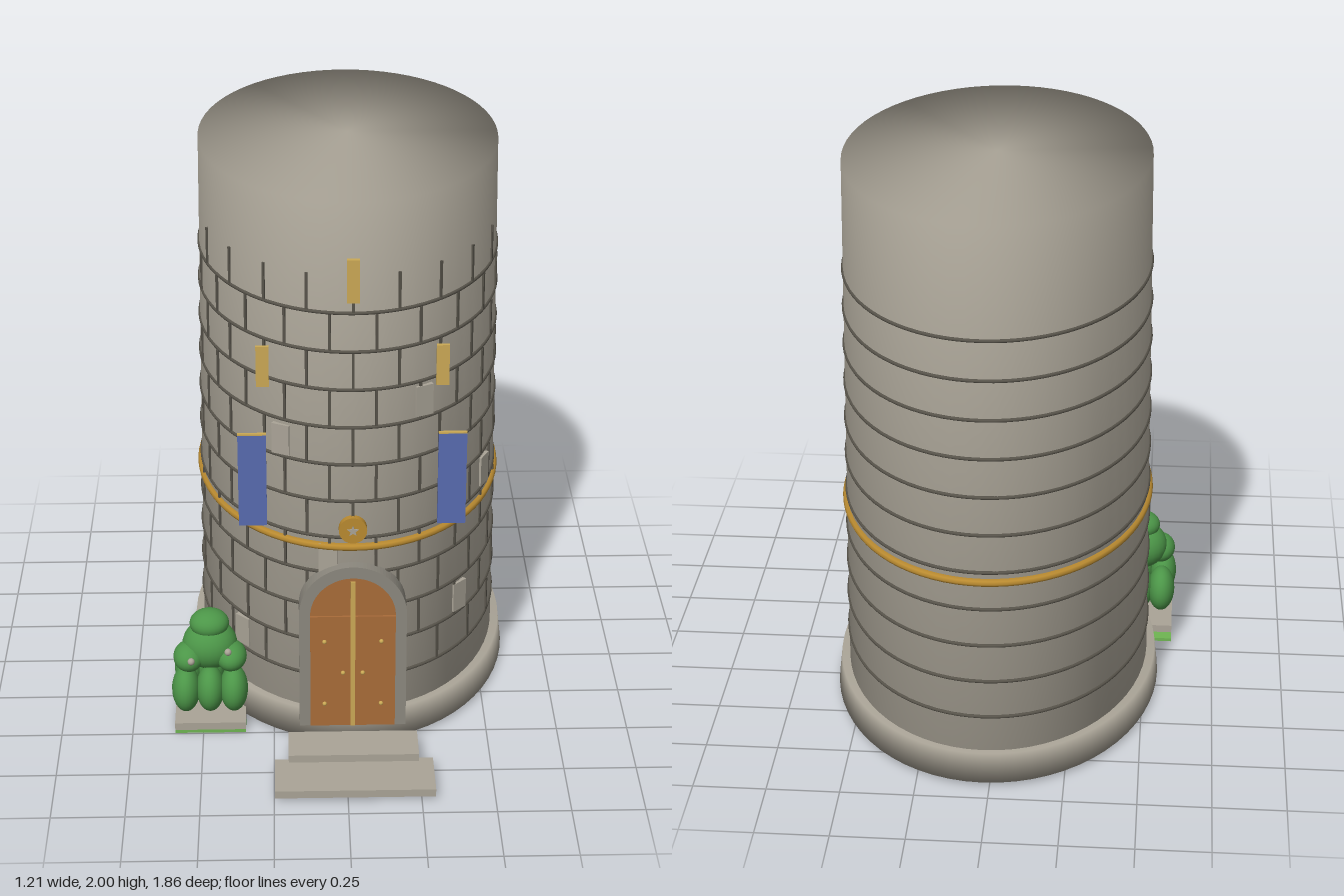
import * as THREE from 'three';

const CX = 0.025, CZ = -0.175, RATIO = 1.34;

export function createModel() {
  const root = new THREE.Group();
  root.name = 'tower';
  const mat = (name, color) => {
    const m = new THREE.MeshStandardMaterial({ color });
    m.name = name;
    return m;
  };
  const stone = mat('stone', 0xaaa497);
  const mortar = mat('mortar', 0x57534a);
  const trim = mat('doorFrameStone', 0x8c887e);
  const wood = mat('wood', 0xa96c39);
  const gold = mat('gold', 0xb98a30);
  const paleGold = mat('paleGold', 0xcba955);
  const blue = mat('bannerBlue', 0x586bb0);
  const leaf = mat('leafGreen', 0x4c9648);
  const grass = mat('grassGreen', 0x6fb552);

  const add = (name, geometry, material, x = 0, y = 0, z = 0, parent = root) => {
    const mesh = new THREE.Mesh(geometry, material);
    mesh.name = name;
    mesh.position.set(x, y, z);
    parent.add(mesh);
    return mesh;
  };
  // Box given by its minimum and maximum corners
  const box = (name, material, [x0, y0, z0], [x1, y1, z1]) =>
    add(name, new THREE.BoxGeometry(x1 - x0, y1 - y0, z1 - z0), material,
      (x0 + x1) / 2, (y0 + y1) / 2, (z0 + z1) / 2);

  // The slightly tapering oval wall
  const radius = (y) => 0.537 - 0.011 * y;
  const oval = (name, profile, material, ratio) => {
    const points = profile.map(([r, y]) => new THREE.Vector2(r, y));
    const geometry = new THREE.LatheGeometry(points, 64);
    add(name, geometry, material, CX, 0, CZ).scale.z = ratio;
  };
  oval('wall', [[0, 0.03], [radius(0), 0.03], [radius(2), 2], [0, 2]], stone, RATIO);
  oval('plinth', [[0, 0.015], [0.577, 0.015], [0.565, 0.12], [0, 0.12]], stone, 1.31);

  // Oval hoop around the wall
  const hoop = (name, y, r, tube, material) => {
    const geometry = new THREE.TorusGeometry(r, tube, 8, 80).rotateX(Math.PI / 2);
    add(name, geometry, material, CX, y, CZ).scale.z = RATIO;
  };
  // Block set into the wall at an angle measured from the front
  const onWall = (name, degrees, y, w, h, d, material) => {
    const a = THREE.MathUtils.degToRad(degrees), r = radius(y);
    add(name, new THREE.BoxGeometry(w, h, d), material,
      CX + r * Math.sin(a), y, CZ + r * RATIO * Math.cos(a)).rotation.y = a;
  };

  // Mortar courses with staggered upright joints on the front half
  const STEP = 0.1367;
  for (let k = 0; k < 11; k++) {
    const y = 0.253 + k * STEP;
    hoop('mortarCourse', y, radius(y), 0.006, mortar);
    const shift = k % 2 ? 8.5 : 0;
    for (let n = k % 2 ? -5 : -4; n <= 4; n++)
      onWall('mortarJoint', n * 17 + shift, y + STEP / 2, 0.009, 0.13, 0.012, mortar);
  }
  hoop('goldBelt', 0.765, 0.53, 0.013, gold);

  // A few stones standing proud of the wall
  for (const [degrees, y] of [[27, 1.275], [-27, 1.137], [62, 0.865], [45, 0.455], [-45, 0.325], [-9, 0.72]])
    onWall('proudStone', degrees, y, 0.065, 0.11, 0.02, stone);

  // Arched outline, centred on x = 0
  const arch = (half, y0, y1, Type = THREE.Shape) => {
    const s = new Type();
    s.moveTo(-half, y0);
    s.lineTo(half, y0);
    s.lineTo(half, y1);
    s.absarc(0, y1, half, 0, Math.PI, false);
    s.lineTo(-half, y0);
    return s;
  };
  const extrude = (shape, depth) =>
    new THREE.ExtrudeGeometry(shape, { depth, bevelEnabled: false, curveSegments: 24 });

  // Door and its frame
  const frame = arch(0.185, 0.075, 0.52);
  frame.holes.push(arch(0.147, 0.076, 0.515, THREE.Path));
  add('doorFrame', extrude(frame, 0.1), trim, CX, 0, 0.472);
  const fan = new THREE.Shape();
  fan.absarc(0, 0.513, 0.147, 0, Math.PI, false);
  add('doorArch', extrude(fan, 0.08), wood, CX, 0, 0.486);
  for (const s of [-1, 1]) {
    add('doorLeaf', new THREE.BoxGeometry(0.147, 0.438, 0.08), wood, CX + s * 0.0735, 0.294, 0.534);
    for (const [x, y] of [[0.098, 0.165], [0.098, 0.415], [0.034, 0.29]])
      add('doorStud', new THREE.SphereGeometry(0.008, 10, 8), paleGold, CX + s * x, y, 0.575);
  }
  box('doorStrip', paleGold, [CX - 0.008, 0.076, 0.57], [CX + 0.008, 0.65, 0.579]);

  // Medallion with a small star
  add('medallion', new THREE.CylinderGeometry(0.048, 0.048, 0.035, 32).rotateX(Math.PI / 2),
    gold, CX, 0.836, 0.537);
  const star = new THREE.Shape();
  for (let i = 0; i < 10; i++) {
    const r = i % 2 ? 0.009 : 0.021, a = Math.PI / 2 + i * Math.PI / 5;
    star[i ? 'lineTo' : 'moveTo'](r * Math.cos(a), r * Math.sin(a));
  }
  add('medallionStar', extrude(star, 0.004), stone, CX, 0.836, 0.5545);

  // Lit windows and hanging banners
  box('topWindow', paleGold, [CX - 0.021, 1.66, 0.505], [CX + 0.021, 1.81, 0.533]);
  for (const s of [-1, 1]) {
    add('sideWindow', new THREE.BoxGeometry(0.043, 0.145, 0.014), paleGold, CX + s * 0.299, 1.408, 0.462);
    add('banner', new THREE.BoxGeometry(0.096, 0.34, 0.014), blue, CX + s * 0.338, 0.98, 0.451);
    add('bannerRod', new THREE.BoxGeometry(0.096, 0.005, 0.013), paleGold, CX + s * 0.338, 1.1525, 0.451);
  }

  // Front steps
  box('upperStep', stone, [-0.2, 0.02, 0.61], [0.248, 0.073, 0.758]);
  box('lowerStep', stone, [-0.247, 0.017, 0.738], [0.297, 0.045, 0.93]);

  // Planting bed and shrub
  box('grassPatch', grass, [-0.6, 0, 0.06], [-0.35, 0.012, 0.495]);
  box('planterSlab', stone, [-0.6, 0.012, 0.105], [-0.35, 0.04, 0.495]);
  const shrub = new THREE.Group();
  shrub.name = 'shrub';
  root.add(shrub);
  const lobe = (x, y, z, rx, ry, rz) =>
    add('shrubLobe', new THREE.SphereGeometry(1, 24, 16), leaf, x, y, z, shrub).scale.set(rx, ry, rz);
  for (const x of [-0.562, -0.476, -0.392]) lobe(x, 0.12, 0.39, 0.05, 0.085, 0.075);
  for (const x of [-0.557, -0.476]) lobe(x, 0.12, 0.25, 0.05, 0.085, 0.08);
  for (const x of [-0.55, -0.4]) lobe(x, 0.235, 0.36, 0.055, 0.052, 0.07);
  lobe(-0.476, 0.265, 0.325, 0.098, 0.09, 0.09);
  lobe(-0.476, 0.35, 0.325, 0.07, 0.05, 0.065);
  for (const [x, y, z] of [[-0.54, 0.25, 0.425], [-0.41, 0.278, 0.41]])
    add('shrubBud', new THREE.SphereGeometry(0.013, 10, 8), stone, x, y, z, shrub);

  return root;
}
